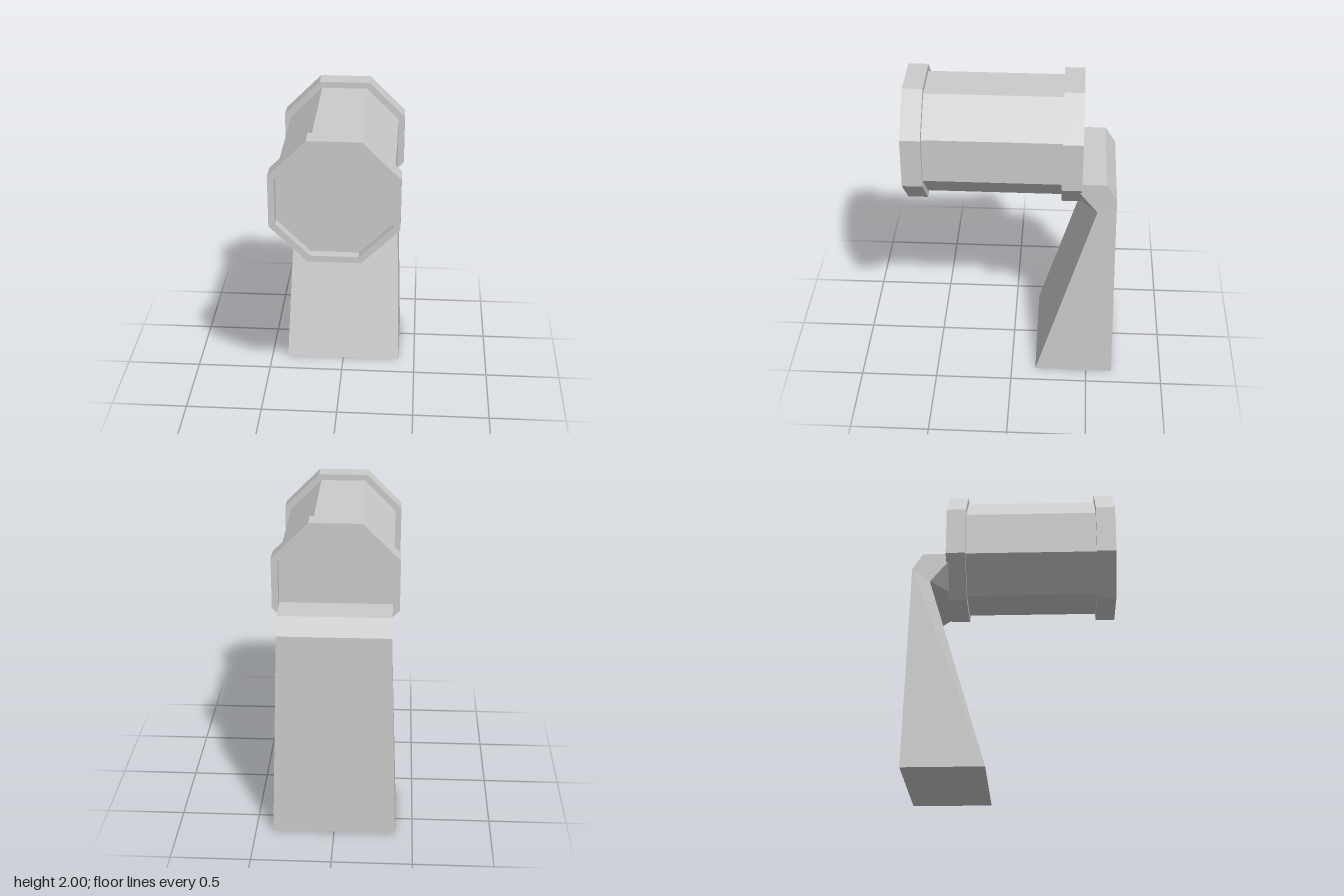
import * as THREE from 'three';
import { ConvexGeometry } from 'three/addons/geometries/ConvexGeometry.js';

const material = new THREE.MeshStandardMaterial({ color: 0xcccccc, flatShading: true });
const AXIS_Y = 1.61;

// Corners of an octagon with flat sides, given the distance from centre to side
function octagon(half) {
  const r = half / Math.cos(Math.PI / 8);
  return Array.from({ length: 8 }, (_, i) => {
    const a = Math.PI / 8 + i * Math.PI / 4;
    return new THREE.Vector2(r * Math.cos(a), AXIS_Y + r * Math.sin(a));
  });
}

// Octagonal prism along z, with an optional octagonal hole
function prism(half, z0, z1, hole) {
  const shape = new THREE.Shape(octagon(half));
  if (hole) shape.holes.push(new THREE.Path(octagon(hole).reverse()));
  const geometry = new THREE.ExtrudeGeometry(shape, { depth: z1 - z0, bevelEnabled: false });
  return geometry.translate(0, 0, z0);
}

// Convex solid from [half width, y, z] points mirrored across x
function mirroredSolid(points) {
  return new ConvexGeometry(points.flatMap(([x, y, z]) =>
    [new THREE.Vector3(x, y, z), new THREE.Vector3(-x, y, z)]));
}

export function createModel() {
  const group = new THREE.Group();
  const add = (name, geometry) => {
    const mesh = new THREE.Mesh(geometry, material);
    mesh.name = name;
    group.add(mesh);
  };

  // Barrel with its ends recessed inside the two rims
  add('barrel', prism(0.35, -0.37, 0.61));
  add('frontRim', prism(0.39, 0.545, 0.67, 0.35));
  add('rearRim', prism(0.39, -0.43, -0.305, 0.35));

  // Tapered post
  const bendFront = [0.347, 1.265, -0.53];
  const bendBack = [0.347, 1.36, -0.647];
  add('post', mirroredSolid([
    [0.39, 0, -0.16], [0.39, 0, -0.67], bendFront, bendBack,
  ]));

  // Neck joining the top of the post to the rear of the barrel
  add('neck', mirroredSolid([
    bendFront, bendBack,
    [0.347, 1.465, -0.58], [0.347, 1.465, -0.53],
    [0.347, 1.465, -0.37], [0.145, 1.262, -0.37],
  ]));

  return group;
}
